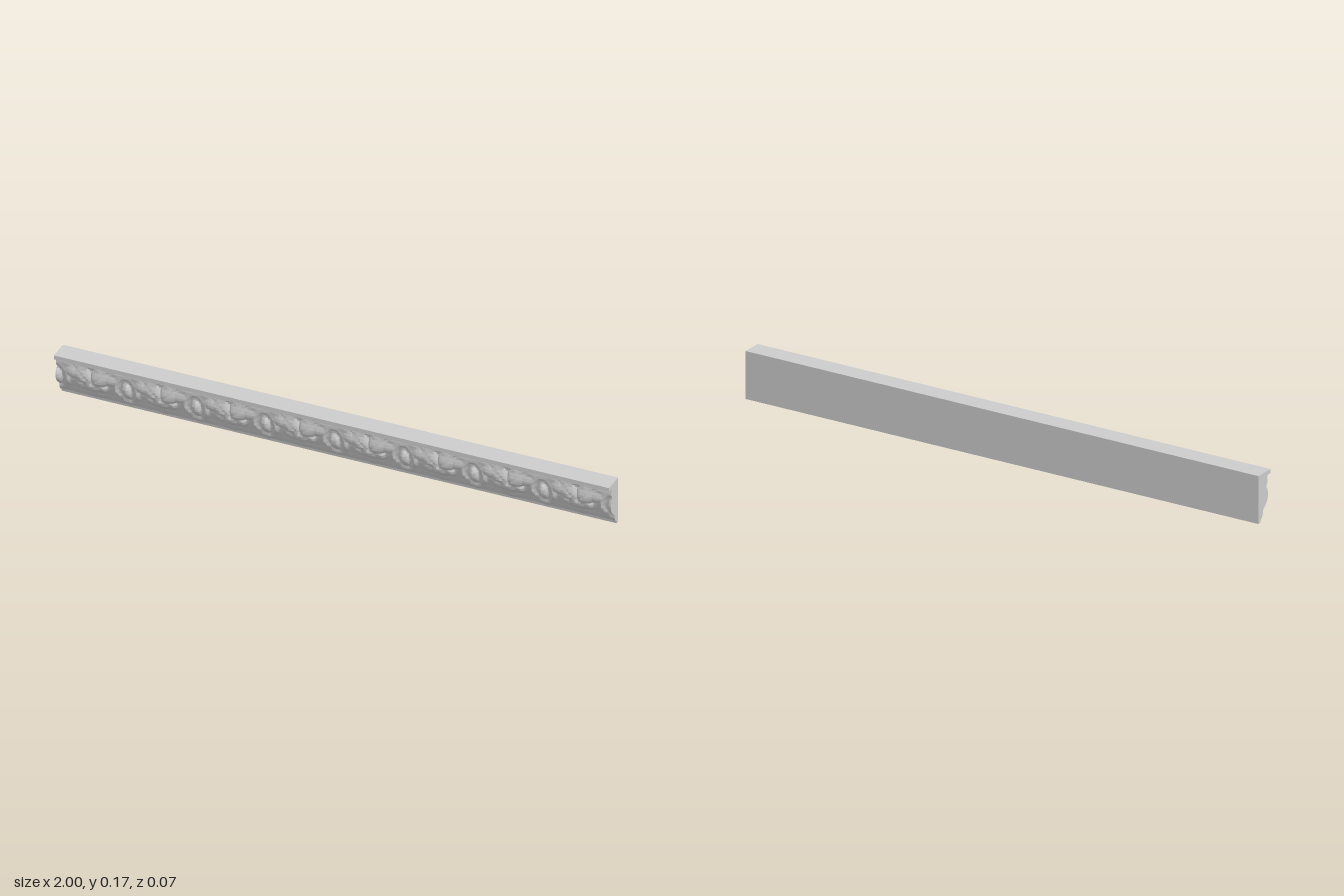
import * as THREE from 'three';
import { toCreasedNormals } from 'three/addons/utils/BufferGeometryUtils.js';

const LENGTH = 2, TOP = 0.17, LIP_Y = 0.155, BACK = -0.036, PERIOD = 0.25;
const COLS = 480, ROWS = 56;

// moulding profile as [y, recessed z, raised z]
const PROFILE = [
  [0, -0.024, -0.024], [0.006, -0.024, -0.023], [0.012, -0.021, -0.011], [0.025, -0.014, -0.007],
  [0.04, -0.009, -0.002], [0.055, -0.002, 0.014], [0.07, 0.004, 0.023], [0.09, 0.009, 0.028],
  [0.11, 0.012, 0.027], [0.13, 0.014, 0.024], [0.145, 0.017, 0.024], [0.155, 0.02, 0.022],
];

function profileAt(y) {
  let i = 0;
  while (i < PROFILE.length - 2 && PROFILE[i + 1][0] < y) i++;
  const [a, b] = [PROFILE[i], PROFILE[i + 1]];
  const t = (y - a[0]) / (b[0] - a[0]);
  return [a[1] + (b[1] - a[1]) * t, a[2] + (b[2] - a[2]) * t];
}

// rounded lobe of height h with radii rx, ry, turned by angle
function lobe(x, y, cx, cy, rx, ry, h, angle = 0) {
  const c = Math.cos(angle), s = Math.sin(angle), dx = x - cx, dy = y - cy;
  const r2 = ((dx * c + dy * s) / rx) ** 2 + ((dy * c - dx * s) / ry) ** 2;
  return r2 < 1 ? h * Math.sqrt(1 - r2) : 0;
}

// carving height from 0 (recessed) to 1 (raised), mirrored about each leaf and bead
function carving(x, y) {
  const u = ((x + LENGTH / 2) % PERIOD) - PERIOD / 2;
  const a = Math.abs(u), d = PERIOD / 2 - a;
  const ring = Math.hypot(d / 0.038, (y - 0.08) / 0.054);
  const frame = Math.max(0, 0.6 * (1 - ((ring - 1) / 0.24) ** 2));
  const rail = Math.max(0, 0.6 * (1 - ((y - 0.141 + 0.006 * Math.cos(d * 75)) / 0.009) ** 2));
  const h = Math.max(
    lobe(a, y, 0, 0.05, 0.032, 0.042, 1),               // drop below the leaf
    lobe(a, y, 0.028, 0.105, 0.048, 0.034, 1, 0.6),      // main leaf half
    lobe(a, y, 0.066, 0.112, 0.034, 0.026, 0.85, 0.5),   // outer leaf lobe
    lobe(a, y, 0.036, 0.062, 0.018, 0.024, 0.8, -0.4),   // lower petal
    lobe(a, y, 0.088, 0.136, 0.024, 0.011, 0.8, -0.3),   // curled leaf tip
    lobe(d, y, 0, 0.075, 0.017, 0.037, 0.85),            // bead
    lobe(d, y, 0, 0.025, 0.022, 0.015, 0.75),            // point under the bead
    frame, rail,
  );
  // vein down the leaf and creases fanning out from it
  const vein = y > 0.085 ? 0.35 * Math.exp(-((a / 0.004) ** 2)) : 0;
  const crease = y > 0.06 && a < 0.07 ? 0.2 * Math.exp(-(((y - 0.08 - a * 0.9) / 0.004) ** 2)) : 0;
  return Math.max(0, h - vein - crease);
}

function frontZ(x, y) {
  const [low, high] = profileAt(y);
  return low + (high - low) * carving(x, y);
}

function carvedFront() {
  const g = new THREE.PlaneGeometry(LENGTH, LIP_Y, COLS, ROWS);
  g.translate(0, LIP_Y / 2, 0);
  const p = g.attributes.position;
  for (let i = 0; i < p.count; i++) p.setZ(i, frontZ(p.getX(i), Math.max(0, p.getY(i))));
  return toCreasedNormals(g, 0.9);
}

// flat cut end following the carved section
function cutEnd(side) {
  const s = new THREE.Shape();
  s.moveTo(BACK, 0);
  for (let i = 0; i <= ROWS; i++) {
    const y = (LIP_Y * i) / ROWS;
    s.lineTo(frontZ(side * LENGTH / 2, y), y);
  }
  s.lineTo(BACK, LIP_Y);
  const g = new THREE.ShapeGeometry(s);
  g.rotateY(-Math.PI / 2);
  g.translate(side * LENGTH / 2, 0, 0);
  return g;
}

export function createModel() {
  const group = new THREE.Group();
  const grey = new THREE.MeshStandardMaterial({ color: 0xcccccc });
  const greyThin = new THREE.MeshStandardMaterial({ color: 0xcccccc, side: THREE.DoubleSide });
  const add = (name, geometry, material = grey) => {
    const m = new THREE.Mesh(geometry, material);
    m.name = name;
    group.add(m);
    return m;
  };
  const bar = (y0, y1, z0, z1) => new THREE.BoxGeometry(LENGTH, y1 - y0, z1 - z0)
    .translate(0, (y0 + y1) / 2, (z0 + z1) / 2);

  add('backboard', bar(0, LIP_Y, BACK, -0.0245));
  add('topLip', bar(LIP_Y, TOP, BACK, 0.037));
  add('carvedFront', carvedFront(), greyThin);
  add('leftCutEnd', cutEnd(1), greyThin);
  add('rightCutEnd', cutEnd(-1), greyThin);
  return group;
}
